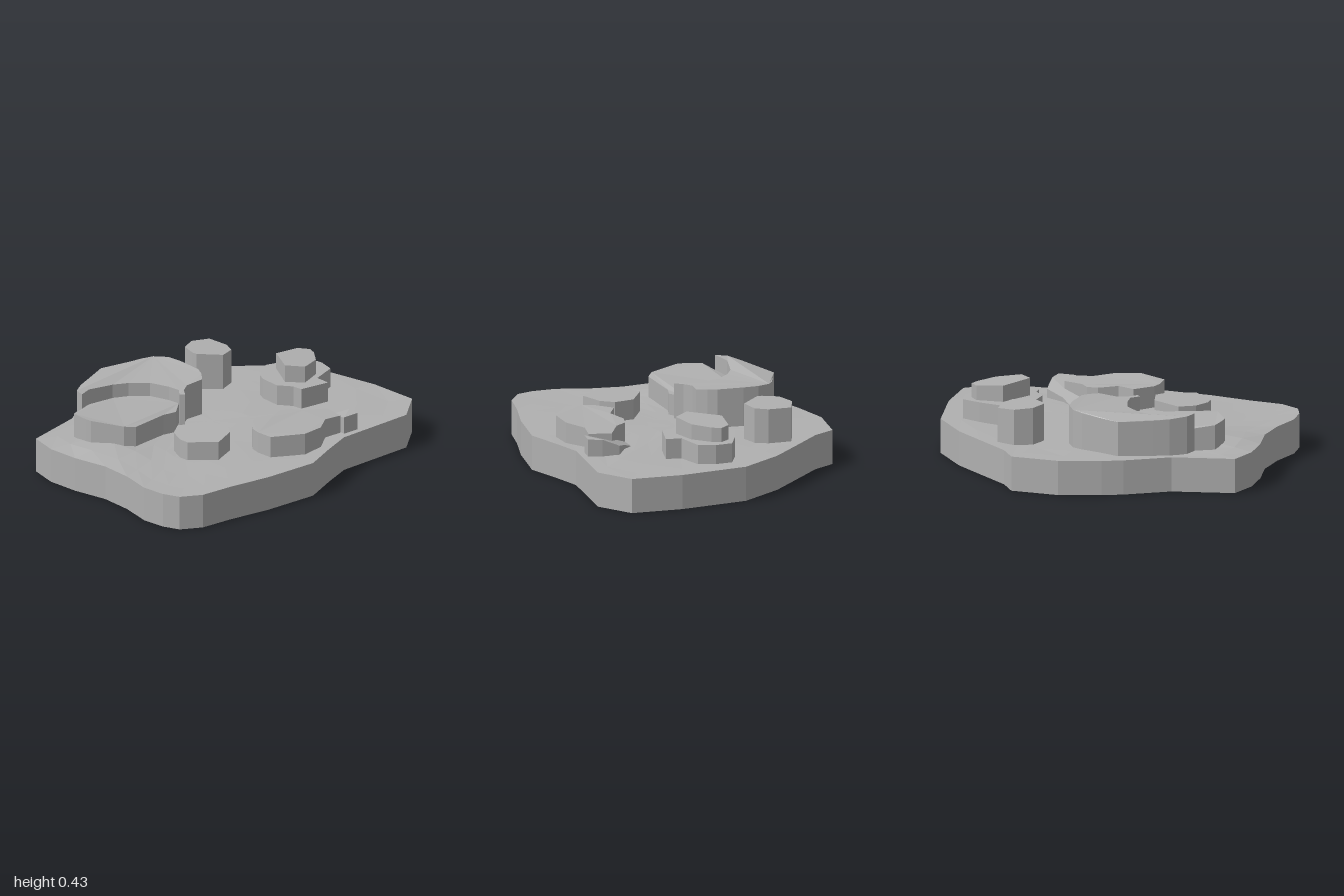
import * as THREE from 'three';

const stone = new THREE.MeshStandardMaterial({ color: 0xb0b0b0, flatShading: true });
stone.name = 'grey stone';

// Ground outline, x and z
const outline = [
  [0.11, -0.84], [0.39, -0.80], [0.46, -0.67], [0.64, -0.48], [0.80, -0.31], [0.96, -0.06],
  [1.0, 0.34], [0.98, 0.64], [0.78, 0.77], [0.30, 0.72], [0.11, 0.77], [-0.10, 0.835],
  [-0.42, 0.78], [-0.67, 0.71], [-0.86, 0.67], [-0.97, 0.59], [-1.0, 0.49], [-1.0, 0.35],
  [-0.94, 0.17], [-0.91, -0.02], [-0.93, -0.23], [-0.92, -0.42], [-0.86, -0.585],
  [-0.5, -0.625], [-0.41, -0.67], [-0.25, -0.75], [-0.13, -0.79],
];

// Gently uneven surface with a low mound on the right-hand side
function groundHeight(x, z) {
  const mound = 0.03 * Math.exp(-((x + 0.7) ** 2 + (z + 0.2) ** 2) / 0.04);
  return 0.2 + mound + 0.004 * Math.sin(7 * x + 2 * z) * Math.cos(6 * z - x);
}

// Base slab: rings from the bottom centre, round the rim, to the top centre
function groundGeometry() {
  const rings = [[0, 0], [1, 0], [1, 1], [0.88, 1], [0.72, 1], [0.55, 1], [0.36, 1], [0.18, 1], [0, 1]];
  const n = outline.length, positions = [], index = [];
  rings.forEach(([s, top], r) => {
    outline.forEach(([ox, oz], i) => {
      const x = ox * s, z = oz * s;
      positions.push(x, top ? (s === 1 ? 0.2 : groundHeight(x, z)) : 0, z);
      if (r === 0) return;
      const j = (i + 1) % n, a0 = (r - 1) * n + i, b0 = (r - 1) * n + j, a1 = r * n + i, b1 = r * n + j;
      if (s > 0) index.push(a0, a1, b1);
      if (rings[r - 1][0] > 0) index.push(a0, b1, b0);
    });
  });
  const g = new THREE.BufferGeometry();
  g.setAttribute('position', new THREE.Float32BufferAttribute(positions, 3));
  g.setIndex(index);
  const flat = g.toNonIndexed();
  flat.computeVertexNormals();
  return flat;
}

// Upright rock with a given plan outline and a top height rule
function rockGeometry(points, bottom, topAt) {
  const shape = new THREE.Shape(points.map(([x, z]) => new THREE.Vector2(x, z)));
  const g = new THREE.ExtrudeGeometry(shape, { depth: 1, bevelEnabled: false });
  g.rotateX(Math.PI / 2);
  const p = g.attributes.position;
  for (let i = 0; i < p.count; i++) {
    p.setY(i, p.getY(i) > -0.5 ? topAt(p.getX(i), p.getZ(i)) : bottom);
  }
  g.computeVertexNormals();
  return g;
}

export function createModel() {
  const model = new THREE.Group();
  model.name = 'rockyGround';
  const add = (name, geometry) => {
    const mesh = new THREE.Mesh(geometry, stone);
    mesh.name = name;
    model.add(mesh);
  };
  const rock = (name, points, topAt, bottom = 0.18) => add(name, rockGeometry(points, bottom, topAt));

  add('groundSlab', groundGeometry());

  // Tall crescent wrapped round a lower ledge
  rock('backCrescentRock', [
    [-0.2, -0.67], [-0.09, -0.62], [0.03, -0.57], [0.09, -0.53], [0.13, -0.45], [0.13, -0.36],
    [0.11, -0.21], [0.08, -0.16], [0.03, -0.11], [-0.08, -0.13], [-0.14, -0.10], [-0.18, -0.055],
    [-0.2, -0.08], [-0.155, -0.125], [-0.155, -0.2], [-0.18, -0.32], [-0.26, -0.41], [-0.34, -0.46],
    [-0.5, -0.5], [-0.6, -0.465], [-0.57, -0.53], [-0.48, -0.58], [-0.39, -0.61],
  ], (x) => 0.4 + 0.18 * (x + 0.25) ** 2);
  rock('backLedgeRock', [
    [-0.71, -0.43], [-0.6, -0.465], [-0.5, -0.5], [-0.34, -0.46], [-0.26, -0.41], [-0.18, -0.32],
    [-0.155, -0.2], [-0.155, -0.125], [-0.26, -0.055], [-0.34, -0.08], [-0.6, -0.06],
    [-0.655, -0.10], [-0.735, -0.28], [-0.735, -0.32],
  ], (x) => 0.32 + Math.max(0, -0.5 - x) * 0.14);

  // Single pillar at the back
  rock('pillarRock', [
    [0.29, -0.41], [0.33, -0.50], [0.43, -0.54], [0.535, -0.495], [0.53, -0.36],
    [0.49, -0.29], [0.39, -0.265], [0.29, -0.38],
  ], (x) => 0.413 - 0.06 * (x - 0.29));

  // Two stacked rocks on one side
  rock('stackedRockLower', [
    [0.60, -0.13], [0.73, -0.08], [0.84, -0.02], [0.845, 0.08], [0.81, 0.175], [0.65, 0.215],
    [0.64, 0.305], [0.46, 0.26], [0.46, 0.2], [0.41, 0.12], [0.43, 0], [0.46, -0.05],
  ], (x) => 0.32 - 0.02 * (x - 0.4));
  rock('stackedRockUpper', [
    [0.6, -0.05], [0.76, -0.03], [0.80, 0.03], [0.775, 0.08], [0.69, 0.17], [0.55, 0.21], [0.48, 0.12],
  ], (x) => 0.42 - 0.08 * (x - 0.48), 0.3);

  // Low round rock
  rock('lowRock', [
    [-0.39, 0.07], [-0.48, 0.12], [-0.53, 0.21], [-0.535, 0.27], [-0.42, 0.405],
    [-0.27, 0.36], [-0.21, 0.29], [-0.23, 0.17],
  ], (x) => 0.313 + 0.02 * (x + 0.37));

  // Long front rock with a sloping wedge against its end
  rock('frontRock', [
    [-0.07, 0.35], [0.03, 0.41], [0.14, 0.37], [0.21, 0.39], [0.25, 0.455], [0.37, 0.53],
    [0.34, 0.66], [0.23, 0.64], [0.11, 0.71], [-0.03, 0.715], [-0.195, 0.6], [-0.19, 0.5], [-0.17, 0.44],
  ], (x) => 0.325 - 0.06 * Math.max(0, x));
  rock('frontWedge', [
    [0.21, 0.39], [0.31, 0.39], [0.36, 0.45], [0.47, 0.52], [0.46, 0.62], [0.44, 0.7], [0.34, 0.685],
    [0.37, 0.53], [0.25, 0.455],
  ], (x, z) => Math.min(0.3, 0.2 + (z - 0.39) * 0.42));

  return model;
}
